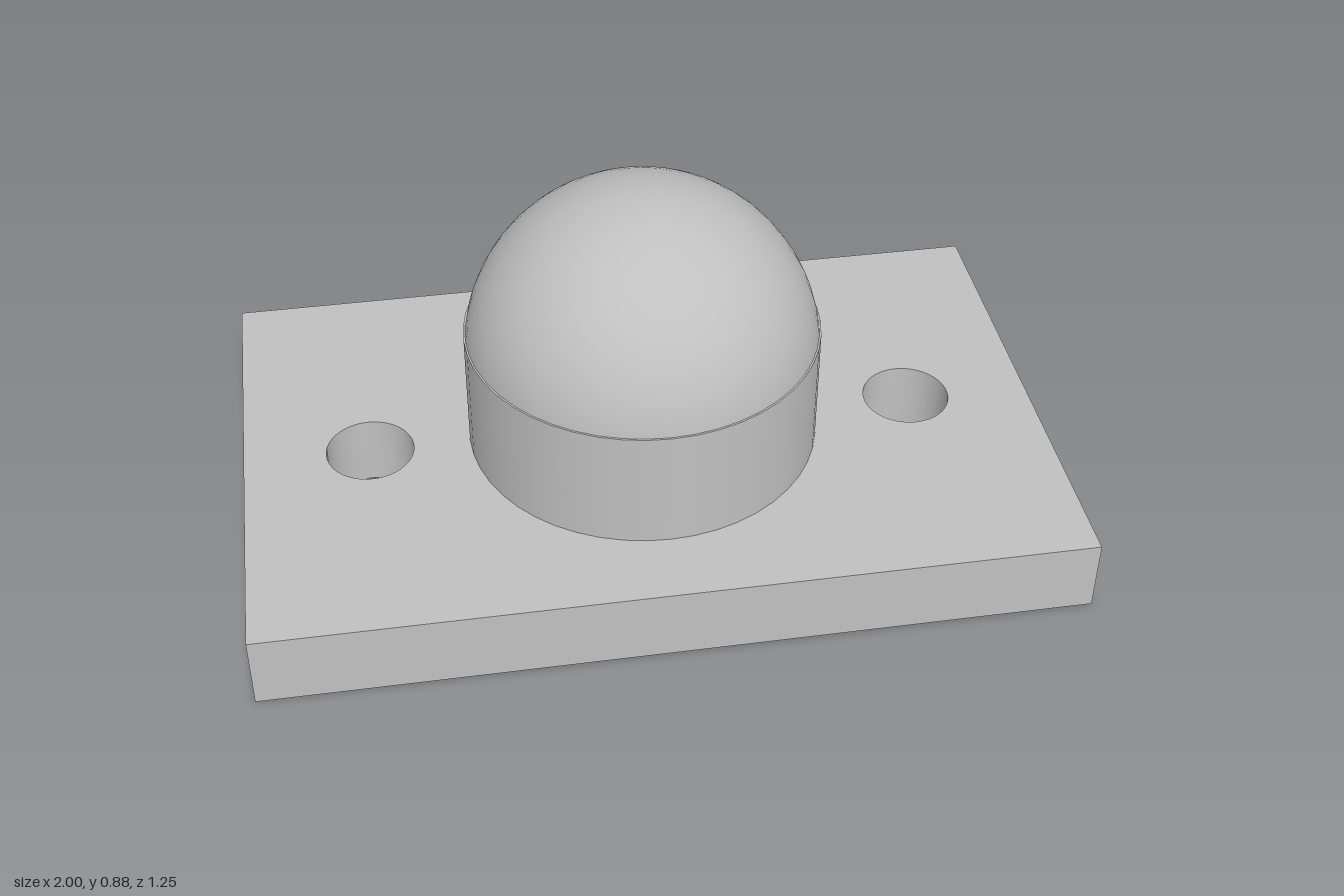
import * as THREE from 'three';

export function createModel() {
  const group = new THREE.Group();
  const grey = new THREE.MeshStandardMaterial({ color: 0xc0c0c0 });
  grey.name = 'plain grey';

  const add = (name, geometry, y) => {
    const mesh = new THREE.Mesh(geometry, grey);
    mesh.name = name;
    mesh.position.y = y;
    group.add(mesh);
  };

  const plateHeight = 0.1875, shoulderY = 0.5, radius = 0.4375, segments = 48;

  // Rectangular plate with a mounting hole on each side
  const outline = new THREE.Shape([
    new THREE.Vector2(-1, -0.625), new THREE.Vector2(1, -0.625),
    new THREE.Vector2(1, 0.625), new THREE.Vector2(-1, 0.625),
  ]);
  for (const side of [-1, 1]) {
    outline.holes.push(new THREE.Path().absarc(side * 0.6875, 0, 0.109, 0, Math.PI * 2, true));
  }
  const plate = new THREE.ExtrudeGeometry(outline, {
    depth: plateHeight, bevelEnabled: false, curveSegments: 32,
  });
  plate.rotateX(-Math.PI / 2);
  add('basePlate', plate, 0);

  // Cylindrical boss standing on the plate
  const bossHeight = shoulderY - plateHeight;
  add('boss', new THREE.CylinderGeometry(radius, radius, bossHeight, segments),
    plateHeight + bossHeight / 2);

  // Dome cut just above its equator, leaving a fine ledge on the boss
  const cutAngle = Math.acos((shoulderY - radius) / radius);
  add('dome', new THREE.SphereGeometry(radius, segments, 16, 0, Math.PI * 2, 0, cutAngle), radius);

  return group;
}
